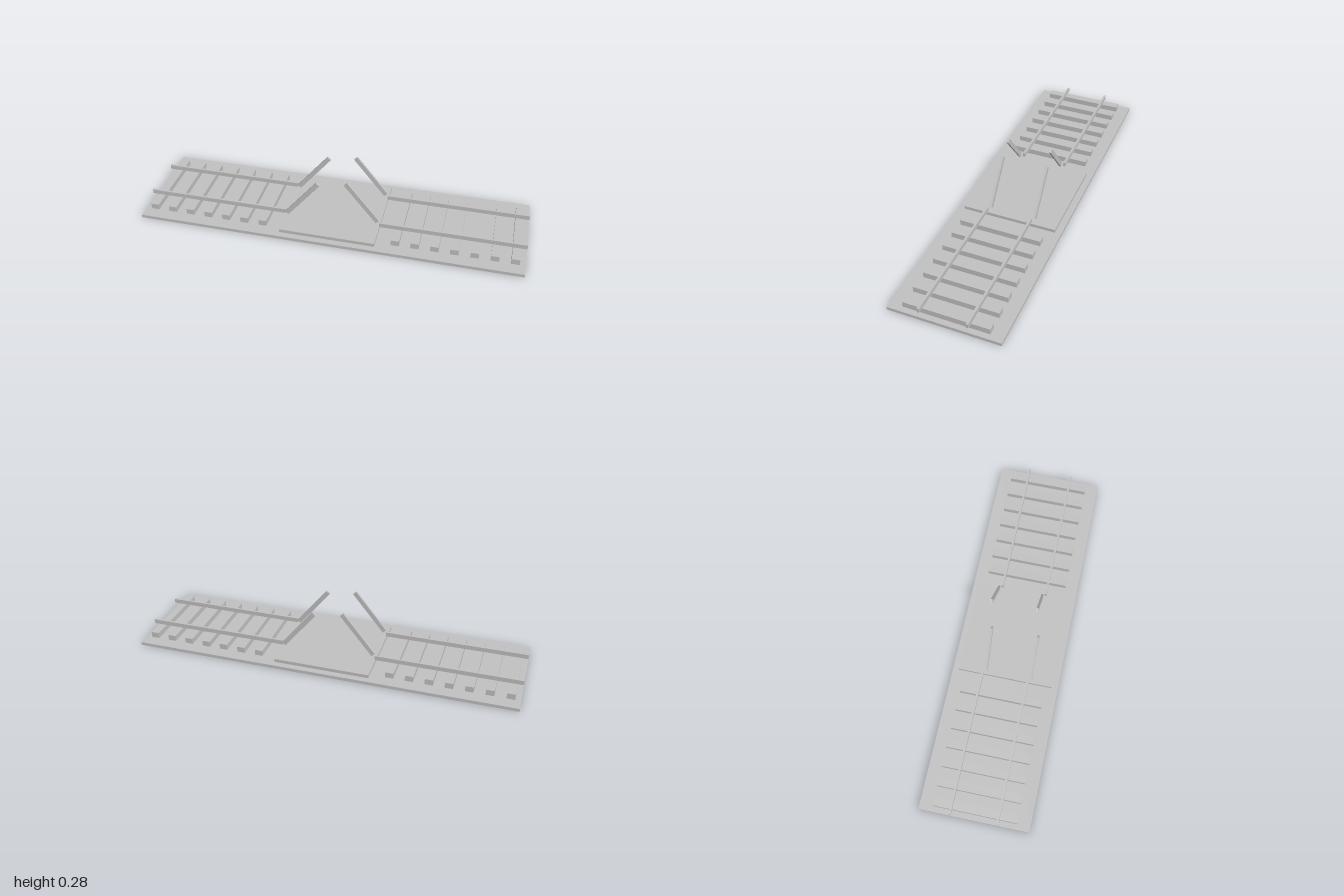
import * as THREE from 'three';

export function createModel() {
  const model = new THREE.Group();
  model.name = 'brokenRailwayTrack';
  const grey = new THREE.MeshStandardMaterial({ color: 0xc0c0c0 });
  grey.name = 'plain grey';

  // Box given by its size and centre, optionally tilted about z
  function box(name, w, h, d, x, y, z, tilt = 0) {
    const mesh = new THREE.Mesh(new THREE.BoxGeometry(w, h, d), grey);
    mesh.name = name;
    mesh.position.set(x, y, z);
    mesh.rotation.z = tilt;
    model.add(mesh);
  }

  const baseTop = 0.0167, sleeperTop = 0.0467;
  const railHeight = 0.0235, railWidth = 0.0115, railZ = 0.12;

  // Ground slab and the raised plate in the gap
  box('base', 2, baseTop, 0.567, 0, baseTop / 2, 0);
  box('centrePlate', 0.5, 0.0175, 0.5, 0, baseTop + 0.00875, 0);

  for (const side of [-1, 1]) {
    // Seven sleepers on each side of the gap
    for (let i = 0; i < 7; i++) {
      box('sleeper', 0.042, sleeperTop - baseTop, 0.434,
        side * (0.35 + i * 0.1), (sleeperTop + baseTop) / 2, 0);
    }
    for (const z of [-railZ, railZ]) {
      // Straight rail resting on the sleepers
      box('rail', 0.75, railHeight, railWidth, side * 0.625, sleeperTop + railHeight / 2, z);
      // Rail end bent upward over the gap, offset to opposite sides
      box('bentRail', 0.267, railHeight, railWidth,
        side * 0.153, 0.1675, z - side * 0.0167, -side * THREE.MathUtils.degToRad(51));
    }
  }
  return model;
}
